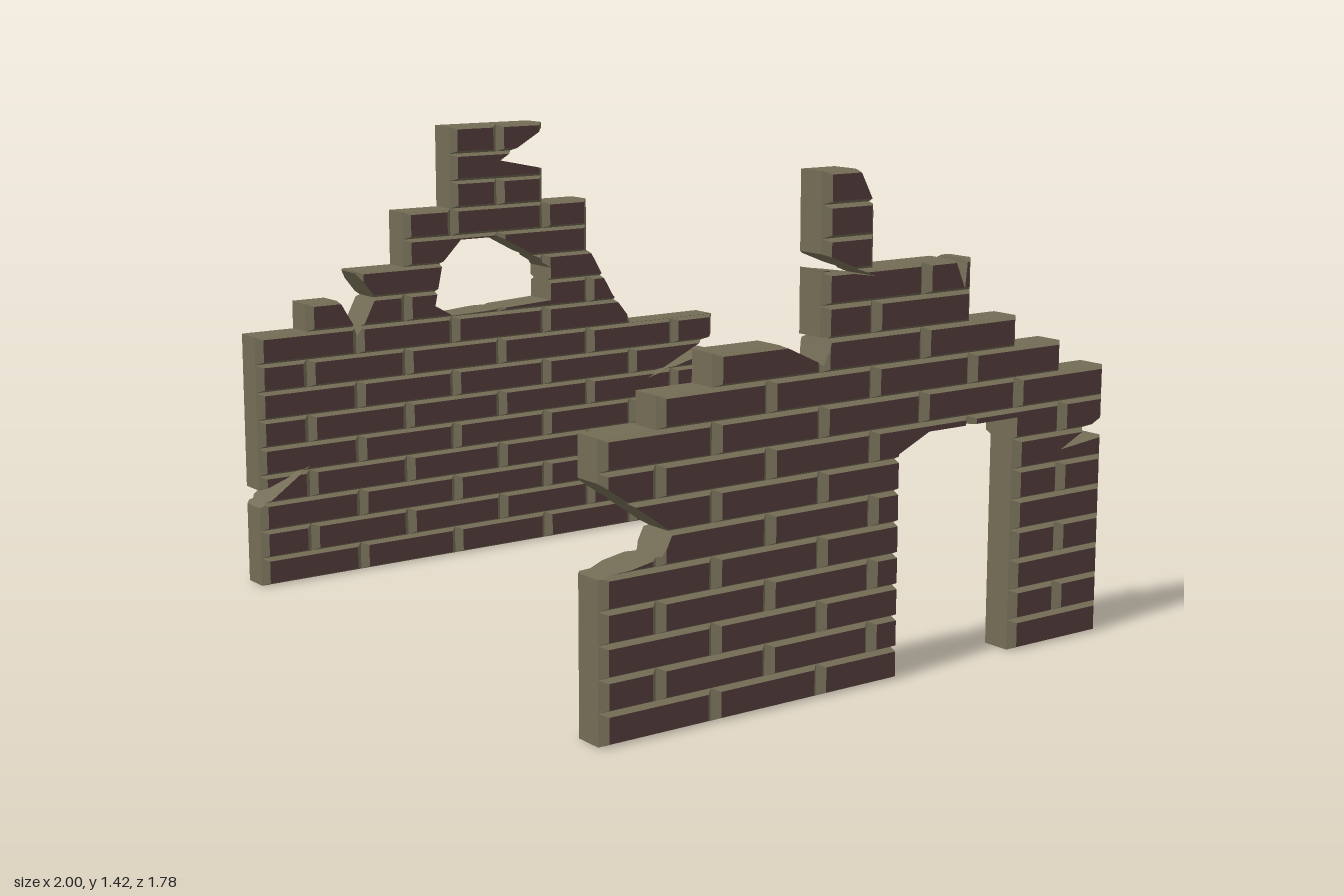
import * as THREE from 'three';

const HALF = 0.89, CELL = 0.178, ROW = 0.0886;   // half wall length, half-brick length, course height
const FACE = 0.0625, CORE = 0.043;               // half thickness at brick face and at joints
const BEVEL_Z = 0.021, BEVEL_Y = 0.009;
const STEPS = [5, 5, 5, 5, 5, 5, 5, 5, 5, 4, 3, 2, 2, 1, 1, 1]; // half bricks each side of centre, per course

const mortarMaterial = new THREE.MeshStandardMaterial({ color: 0x736c55, flatShading: true });
const brickMaterial = new THREE.MeshStandardMaterial({ color: 0x573d3d, flatShading: true });

// Signed side of a point relative to the line a-b (positive = left)
const side = (a, b, p) => (b[0] - a[0]) * (p[1] - a[1]) - (b[1] - a[1]) * (p[0] - a[0]);
const next = (poly, i) => poly[(i + 1) % poly.length];

// Part of a convex polygon on one side of a line
function clip(poly, a, b, sign) {
  const out = [];
  poly.forEach((p, i) => {
    const q = next(poly, i);
    const sp = sign * side(a, b, p), sq = sign * side(a, b, q);
    if (sp >= -1e-9) out.push(p);
    if ((sp > 1e-9 && sq < -1e-9) || (sp < -1e-9 && sq > 1e-9)) {
      const t = sp / (sp - sq);
      out.push([p[0] + t * (q[0] - p[0]), p[1] + t * (q[1] - p[1])]);
    }
  });
  return out;
}

const area = (poly) => poly.reduce((s, p, i) => {
  const q = next(poly, i);
  return s + p[0] * q[1] - q[0] * p[1];
}, 0) / 2;

const inside = (poly, p) => poly.every((a, i) => side(a, next(poly, i), p) > 0);

function mesh(name, positions, material) {
  const geometry = new THREE.BufferGeometry();
  geometry.setAttribute('position', new THREE.Float32BufferAttribute(positions, 3));
  geometry.computeVertexNormals();
  const m = new THREE.Mesh(geometry, material);
  m.name = name;
  return m;
}

// A ruined wall: missing half bricks, and convex breaks [z, y] cut through it
function buildWall(name, x, missing, breaks) {
  const bricks = [], mortar = [];

  const filled = (c, r) => r >= 0 && r < STEPS.length &&
    Math.abs(c - 4.5) < STEPS[r] && !missing(c, r);
  const solid = (p) => filled(Math.floor((p[0] + HALF) / CELL), Math.floor(p[1] / ROW)) &&
    !breaks.some((cut) => inside(cut, p));

  // Split a region along all lines of the breaks near it
  function split(poly, z0, z1, y0, y1) {
    let pieces = [poly];
    for (const cut of breaks) {
      const zs = cut.map((p) => p[0]), ys = cut.map((p) => p[1]), m = 0.01;
      if (Math.max(...zs) < z0 - m || Math.min(...zs) > z1 + m ||
          Math.max(...ys) < y0 - m || Math.min(...ys) > y1 + m) continue;
      cut.forEach((a, i) => {
        const b = next(cut, i);
        pieces = pieces.flatMap((p) => [clip(p, a, b, 1), clip(p, a, b, -1)])
          .filter((p) => p.length > 2 && area(p) > 1e-8);
      });
    }
    return pieces.filter((p) => {
      const c = [0, 1].map((k) => p.reduce((s, v) => s + v[k], 0) / p.length);
      return !breaks.some((cut) => inside(cut, c));
    });
  }

  for (let r = 0; r < STEPS.length; r++) {
    for (let c = 0; c < 10; c++) {
      if (!filled(c, r)) continue;
      const z0 = c * CELL - HALF, z1 = z0 + CELL, y0 = r * ROW, y1 = y0 + ROW;
      // Alternate courses are shifted by half a brick; free ends are bevelled too
      const bl = (c + r) % 2 === 0 || !filled(c - 1, r) ? BEVEL_Z : 0;
      const br = (c + r) % 2 === 1 || !filled(c + 1, r) ? BEVEL_Z : 0;
      const a = z0 + bl, b = z1 - br, d = y0 + BEVEL_Y, e = y1 - BEVEL_Y;
      const height = ([z, y]) => {
        let t = Math.min(1, (y - y0) / BEVEL_Y, (y1 - y) / BEVEL_Y);
        if (bl) t = Math.min(t, (z - z0) / bl);
        if (br) t = Math.min(t, (z1 - z) / br);
        return CORE + (FACE - CORE) * Math.max(0, t);
      };
      // Flat brick face, then lower, upper and end bevels
      const regions = [
        [[a, d], [b, d], [b, e], [a, e]],
        [[z0, y0], [z1, y0], [b, d], [a, d]],
        [[a, e], [b, e], [z1, y1], [z0, y1]],
      ];
      if (bl) regions.push([[z0, y0], [a, d], [a, e], [z0, y1]]);
      if (br) regions.push([[b, d], [z1, y0], [z1, y1], [b, e]]);

      regions.forEach((region, k) => {
        const target = k === 0 ? bricks : mortar;
        for (const piece of split(region, z0, z1, y0, y1)) {
          const at = (p, s) => [x + s * height(p), p[1], p[0]];
          // Both faces of the wall
          for (let i = 1; i < piece.length - 1; i++) {
            const [p, q, w] = [piece[0], piece[i], piece[i + 1]];
            target.push(...at(p, 1), ...at(w, 1), ...at(q, 1));
            target.push(...at(p, -1), ...at(q, -1), ...at(w, -1));
          }
          // Exposed ends, tops and broken edges
          piece.forEach((p, i) => {
            const q = next(piece, i);
            const dz = q[0] - p[0], dy = q[1] - p[1], len = Math.hypot(dz, dy);
            if (len < 1e-6) return;
            const probe = [(p[0] + q[0]) / 2 + dy / len * 2e-4, (p[1] + q[1]) / 2 - dz / len * 2e-4];
            if (solid(probe)) return;
            mortar.push(...at(p, -1), ...at(q, 1), ...at(q, -1));
            mortar.push(...at(p, -1), ...at(p, 1), ...at(q, 1));
          });
        }
      });
    }
  }

  const wall = new THREE.Group();
  wall.name = name;
  wall.add(mesh('brickFaces', bricks, brickMaterial), mesh('mortar', mortar, mortarMaterial));
  return wall;
}

export function createModel() {
  const model = new THREE.Group();
  model.name = 'ruinedBrickWalls';

  // Left wall with the doorway
  model.add(buildWall('doorwayWall', 0.9375,
    (c, r) => (r <= 6 && (c === 2 || c === 3)) || (r >= 13 && c < 5) || (r >= 11 && c >= 6),
    [
      [[-0.534, -0.01], [-0.09, -0.01], [-0.09, 0.635], [-0.2, 0.685], [-0.534, 0.685]], // doorway
      [[0.67, 0.53], [0.7, 0.47], [0.9, 0.435], [0.9, 0.69]],   // front edge notch
      [[-0.9, 0.66], [-0.9, 0.59], [-0.71, 0.57]],              // back edge notch
      [[0, 1.13], [0.19, 1.16], [0.19, 1.205]],                 // crack below the peak
      [[0.15, 0.98], [0.17, 0.905], [0.33, 0.98]],              // chip beside the peak
      [[-0.33, 1.16], [-0.32, 1.07], [-0.28, 1.16]],            // chip in the top course
      [[-0.01, 1.3], [0, 1.3], [0.07, 1.43], [-0.01, 1.43]],    // slanted peak
    ]));

  // Right wall with the window hole
  model.add(buildWall('windowWall', -0.9375,
    () => false,
    [
      [[-0.2, 0.82], [0.18, 0.8], [0.25, 0.84], [0.22, 0.98],
        [0.15, 1.05], [0, 1.05], [-0.15, 0.97], [-0.2, 0.93]],  // window hole
      [[-0.9, 0.71], [-0.54, 0.71], [-0.45, 0.82], [-0.36, 0.975], [-0.9, 0.975]], // fallen back shoulder
      [[-0.9, 0.645], [-0.9, 0.585], [-0.6, 0.51]],             // back edge notch
      [[0.72, 0.37], [0.9, 0.245], [0.9, 0.305]],               // front edge notch
      [[-0.19, 1.405], [-0.19, 1.262], [-0.005, 1.3]],          // notch in the peak
      [[0.47, 0.886], [0.54, 0.886], [0.54, 0.976]],            // overhanging brick
      [[0.47, 0.886], [0.53, 0.77], [0.6, 0.886]],              // chip under the overhang
    ]));

  return model;
}
